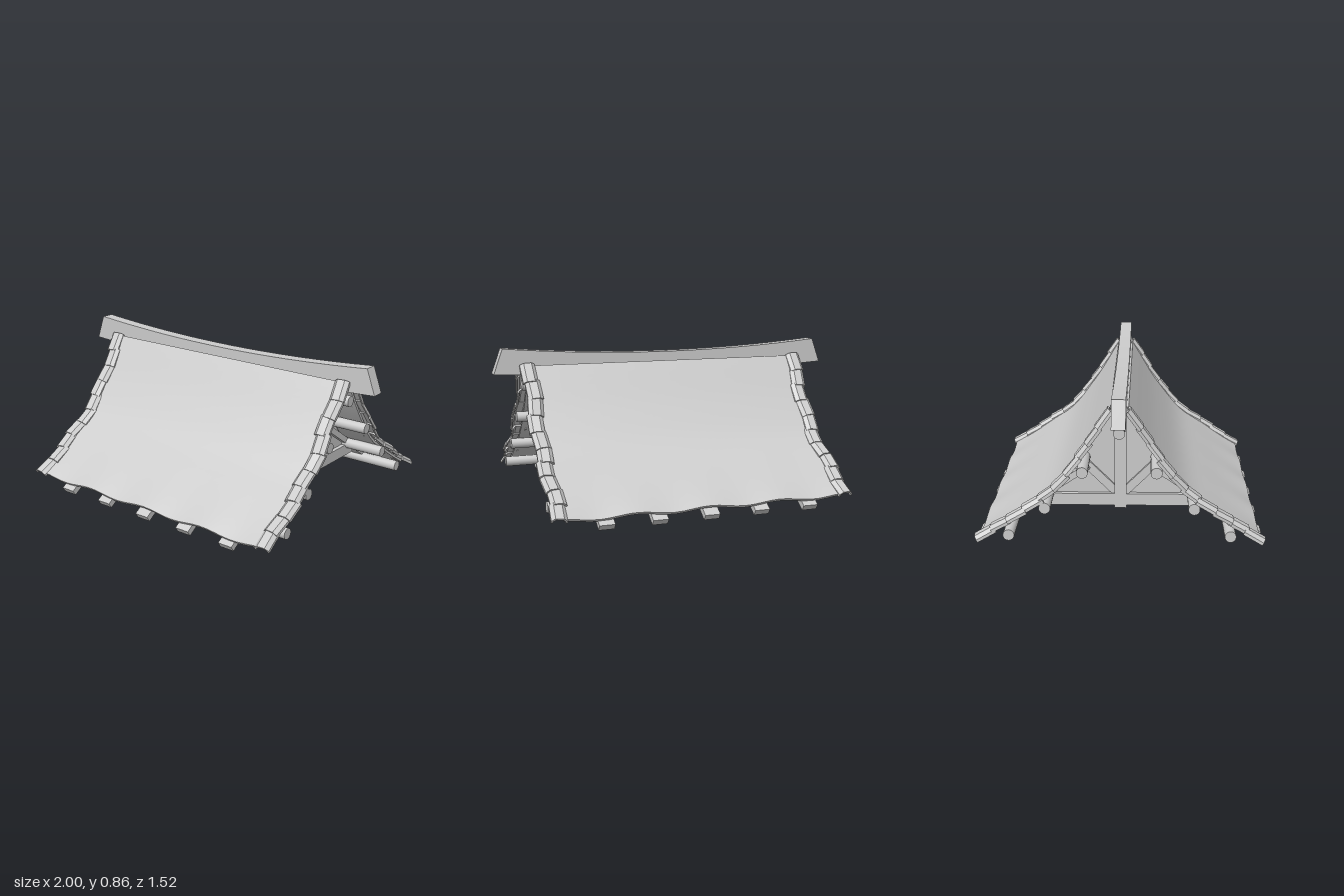
import * as THREE from 'three';

const material = new THREE.MeshStandardMaterial({ color: 0xcccccc });
const flat = new THREE.MeshStandardMaterial({ color: 0xcccccc, flatShading: true });

// Roof slope from ridge to eave, as (0, y, z)
const slope = new THREE.CatmullRomCurve3([
  [0.77, 0.04], [0.515, 0.2], [0.34, 0.34], [0.222, 0.5], [0.066, 0.735],
].map(([y, z]) => new THREE.Vector3(0, y, z)));

function add(parent, name, geometry, mat = flat) {
  const mesh = new THREE.Mesh(geometry, mat);
  mesh.name = name;
  parent.add(mesh);
  return mesh;
}

// Square beam between two (z, y) points at a given x
function beam(parent, name, x, [z0, y0], [z1, y1], width, thickness) {
  const mesh = add(parent, name,
    new THREE.BoxGeometry(width, thickness, Math.hypot(z1 - z0, y1 - y0)));
  mesh.position.set(x, (y0 + y1) / 2, (z0 + z1) / 2);
  mesh.rotation.x = -Math.atan2(y1 - y0, z1 - z0);
  return mesh;
}

function log(parent, z, y) {
  const mesh = add(parent, 'purlin', new THREE.CylinderGeometry(0.03, 0.03, 1.68, 20), material);
  mesh.rotation.z = Math.PI / 2;
  mesh.position.set(0, y, z);
}

// Thin sheet bent along the slope, with a slightly wavy eave
function sheetGeometry() {
  const geometry = new THREE.BoxGeometry(1.58, 0.014, 1, 32, 1, 24);
  const pos = geometry.attributes.position;
  for (let i = 0; i < pos.count; i++) {
    const x = pos.getX(i);
    const h = pos.getY(i);
    const t = pos.getZ(i) + 0.5;
    const p = slope.getPointAt(t);
    const d = slope.getTangentAt(t);
    const wave = 0.009 * Math.cos(x * 15.5) * Math.pow(t, 8);
    pos.setXYZ(i, x, p.y + h * d.z + wave, p.z - h * d.y);
  }
  geometry.computeVertexNormals();
  return geometry;
}

// Faceted arch tile, length along z
function tileGeometry(length) {
  const shape = new THREE.Shape([
    [-0.042, -0.012], [-0.042, 0.004], [-0.022, 0.022], [0.022, 0.022], [0.042, 0.004],
    [0.042, -0.012], [0.033, -0.012], [0.033, 0], [0.018, 0.012], [-0.018, 0.012],
    [-0.033, 0], [-0.033, -0.012],
  ].map(([x, y]) => new THREE.Vector2(x, y)));
  const geometry = new THREE.ExtrudeGeometry(shape, { depth: length, bevelEnabled: false });
  geometry.translate(0, 0, -length / 2);
  return geometry;
}

function createSlope() {
  const group = new THREE.Group();
  group.name = 'roofSlope';
  add(group, 'roofSheet', sheetGeometry(), material);

  // Edge tiles, each tilted a little over the one below
  const count = 10;
  const length = slope.getLength() / count + 0.014;
  const tile = tileGeometry(length);
  for (const side of [-1, 1]) {
    for (let i = 0; i < count; i++) {
      const t = (i + 0.5) / count;
      const p = slope.getPointAt(t);
      const d = slope.getTangentAt(t);
      const mesh = add(group, 'edgeTile', tile);
      mesh.position.set(side * 0.805 + 0.01 * Math.sin(i * 1.9 + side), p.y + 0.008 * d.z, p.z - 0.008 * d.y);
      mesh.rotation.set(Math.atan2(-d.y, d.z) - 0.07, 0.1 * Math.cos(i * 1.9 + side), 0.06 * Math.sin(i * 2.7));
    }
  }

  // Rafters under the eave
  for (let i = -2; i <= 2; i++) {
    beam(group, 'rafter', i * 0.2875 + 0.005, [0.75, 0.021], [0.17, 0.408], 0.085, 0.035);
  }
  for (const [z, y] of [[0.19, 0.45], [0.385, 0.255], [0.575, 0.105]]) log(group, z, y);
  return group;
}

function createTruss(x) {
  const group = new THREE.Group();
  group.name = 'truss';
  beam(group, 'tieBeam', x, [-0.44, 0.217], [0.44, 0.217], 0.06, 0.065);
  beam(group, 'kingPost', x, [0, 0.17], [0, 0.66], 0.065, 0.065).scale.y = 0.98;
  for (const s of [-1, 1]) {
    beam(group, 'brace', x, [s * 0.02, 0.255], [s * 0.19, 0.425], 0.045, 0.045);
  }
  // Gable panel following the roof curve
  const half = slope.getSpacedPoints(24).map((p) => new THREE.Vector2(p.z, p.y - 0.02))
    .filter((p) => p.y > 0.25 && p.y < 0.72);
  const shape = new THREE.Shape([
    ...half, new THREE.Vector2(0.41, 0.24), new THREE.Vector2(-0.41, 0.24),
    ...half.map((p) => new THREE.Vector2(-p.x, p.y)).reverse(),
  ]);
  const geometry = new THREE.ExtrudeGeometry(shape, { depth: 0.012, bevelEnabled: false });
  geometry.translate(0, 0, -0.006);
  const panel = add(group, 'gablePanel', geometry);
  panel.rotation.y = Math.PI / 2;
  panel.position.x = x;
  return group;
}

// Sagging ridge beam with slanted ends
function ridgeGeometry() {
  const shape = new THREE.Shape();
  shape.moveTo(-1, 0.73);
  shape.quadraticCurveTo(0, 0.67, 1, 0.73);
  shape.lineTo(0.95, 0.87);
  shape.quadraticCurveTo(0, 0.78, -0.95, 0.87);
  const geometry = new THREE.ExtrudeGeometry(shape, { depth: 0.072, bevelEnabled: false, curveSegments: 16 });
  geometry.translate(0, 0, -0.036);
  return geometry;
}

export function createModel() {
  const model = new THREE.Group();
  model.name = 'gableRoof';
  add(model, 'ridgeBeam', ridgeGeometry());
  log(model, 0, 0.66);
  const front = createSlope();
  const back = createSlope();
  back.rotation.y = Math.PI;
  model.add(front, back, createTruss(-0.58), createTruss(0.58));
  return model;
}
